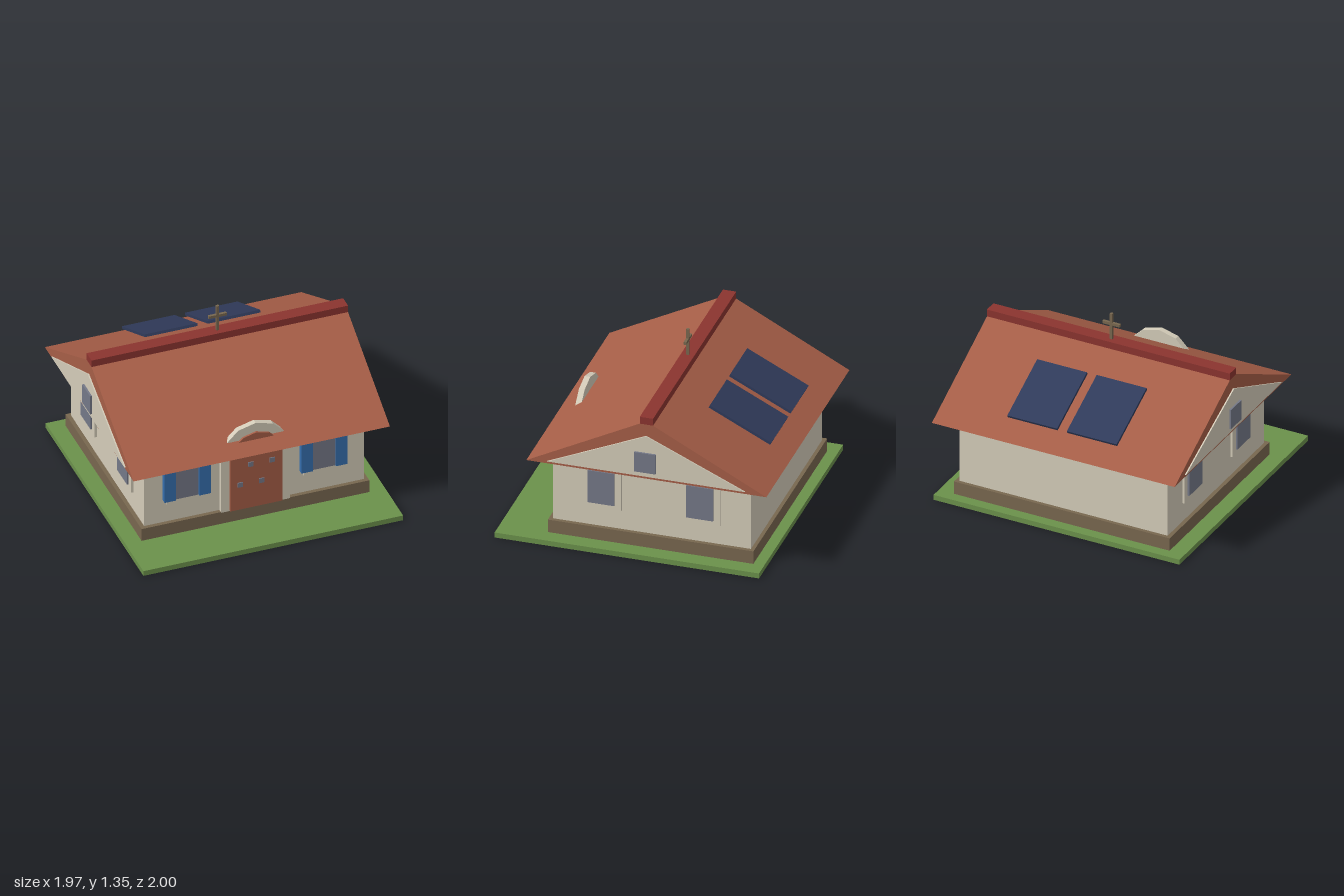
import * as THREE from 'three';

const mat = (name, color) => {
  const m = new THREE.MeshStandardMaterial({ color });
  m.name = name;
  return m;
};

export function createModel() {
  const house = new THREE.Group();
  house.name = 'house';
  const grass = mat('grass green', 0x6b914b);
  const cream = mat('cream plaster', 0xd4ccb9);
  const stone = mat('brown stone', 0x78674f);
  const tile = mat('terracotta', 0xa65e47);
  const ridgeRed = mat('ridge red', 0x8b342f);
  const glass = mat('grey glass', 0x747887);
  const blue = mat('shutter blue', 0x356ead);
  const solar = mat('solar navy', 0x303b5b);

  const add = (name, geometry, material, parent = house) => {
    const mesh = new THREE.Mesh(geometry, material);
    mesh.name = name;
    parent.add(mesh);
    return mesh;
  };
  // Box given by its lower and upper limits on each axis
  const box = (name, material, [x0, x1], [y0, y1], [z0, z1], parent) => {
    const mesh = add(name, new THREE.BoxGeometry(x1 - x0, y1 - y0, z1 - z0), material, parent);
    mesh.position.set((x0 + x1) / 2, (y0 + y1) / 2, (z0 + z1) / 2);
    return mesh;
  };
  // Prism with a (z, y) outline, running along x and centred on x = 0
  const prism = (name, material, outline, width) => {
    const shape = new THREE.Shape(outline.map(([z, y]) => new THREE.Vector2(-z, y)));
    const geometry = new THREE.ExtrudeGeometry(shape, { depth: width, bevelEnabled: false });
    geometry.translate(0, 0, -width / 2).rotateY(Math.PI / 2);
    return add(name, geometry, material);
  };
  // Round-topped slab made with six arch segments
  const arch = (name, material, r, bottom, spring, z0, z1) => {
    const points = [new THREE.Vector2(-r, bottom), new THREE.Vector2(r, bottom)];
    for (let i = 0; i <= 6; i++) {
      const a = (i * Math.PI) / 6;
      points.push(new THREE.Vector2(r * Math.cos(a), spring + r * Math.sin(a)));
    }
    const geometry = new THREE.ExtrudeGeometry(new THREE.Shape(points), { depth: z1 - z0, bevelEnabled: false });
    return add(name, geometry.translate(0, 0, z0), material);
  };

  // Lawn, plinth and walls
  box('lawn', grass, [-0.975, 0.975], [0, 0.04], [-0.95, 1]);
  box('plinth', stone, [-0.855, 0.855], [0.04, 0.14], [-0.87, 0.645]);
  box('walls', cream, [-0.825, 0.825], [0.14, 0.66], [-0.843, 0.615]);

  // Roof, gable panels and ridge
  prism('roof', tile, [[0.77, 0.655], [-0.115, 1.115], [-1, 0.655]], 1.925);
  prism('gablePanels', cream, [[0.615, 0.675], [-0.115, 1], [-0.845, 0.675]], 1.945);
  box('ridge', ridgeRed, [-0.963, 0.963], [1.09, 1.145], [-0.165, -0.067]);

  // Ridge cross
  box('crossPost', stone, [-0.01, 0.01], [1.14, 1.35], [-0.125, -0.105]);
  box('crossBar', stone, [-0.068, 0.068], [1.256, 1.277], [-0.125, -0.105]);

  // Door with surround and four small panes
  arch('doorSurround', cream, 0.26, 0.135, 0.58, 0.605, 0.647);
  arch('door', tile, 0.195, 0.14, 0.575, 0.64, 0.662);
  for (const [x, y] of [[-0.042, 0.51], [0.117, 0.51], [-0.122, 0.353], [0.038, 0.353]]) {
    box('doorPane', glass, [x - 0.019, x + 0.019], [y - 0.019, y + 0.019], [0.655, 0.669]);
  }

  for (const s of [-1, 1]) {
    // Front window with shutters
    const front = new THREE.Group();
    front.name = s > 0 ? 'leftFrontWindow' : 'rightFrontWindow';
    front.position.x = s * 0.513;
    house.add(front);
    box('frame', cream, [-0.145, 0.145], [0.29, 0.62], [0.605, 0.63], front);
    box('glass', glass, [-0.1, 0.1], [0.33, 0.587], [0.61, 0.643], front);
    for (const t of [-1, 1]) {
      box('shutter', blue, [t * 0.13 - 0.043, t * 0.13 + 0.043], [0.33, 0.587], [0.615, 0.657], front);
    }

    // Side windows and gable window
    const span = (a, b) => (s > 0 ? [a, b] : [-b, -a]);
    for (const z of [0.255, -0.473]) {
      box('sideFrame', cream, span(0.815, 0.842), [0.29, 0.62], [z - 0.146, z + 0.146]);
      box('sideGlass', glass, span(0.82, 0.855), [0.33, 0.587], [z - 0.098, z + 0.098]);
    }
    box('gableWindow', glass, span(0.955, 0.987), [0.713, 0.868], [-0.19, -0.033]);

    // Solar panel raised above the rear slope
    const panel = add('solarPanel', new THREE.BoxGeometry(0.395, 0.02, 0.506), solar);
    panel.position.set(s * 0.236, 0.893, -0.637);
    panel.rotation.x = -0.459;
  }
  return house;
}
